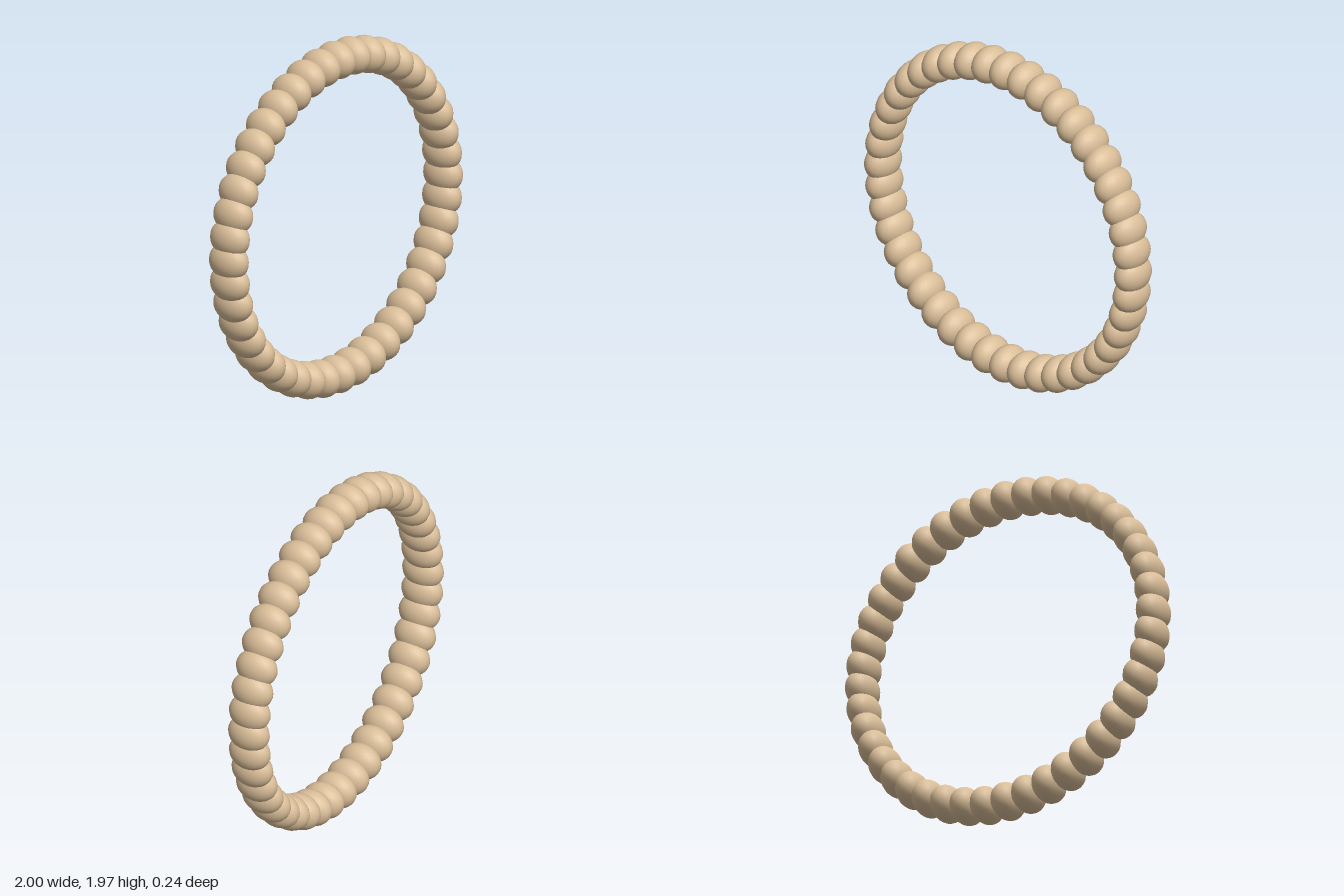
import * as THREE from 'three';

export function createModel() {
  const group = new THREE.Group();
  group.name = 'beadRing';

  const beadTan = new THREE.MeshStandardMaterial({ color: 0xd9bd98 });
  beadTan.name = 'beadTan';

  // One oval bead shared by the whole ring; every bead stays upright
  const bead = new THREE.SphereGeometry(1, 20, 14);
  bead.scale(0.082, 0.103, 0.12);

  // Beads spaced evenly around a slightly flattened circle
  const count = 44;
  const radiusX = 0.918, radiusY = 0.882, centreY = 0.987;
  for (let i = 0; i < count; i++) {
    const a = (i / count) * Math.PI * 2;
    const mesh = new THREE.Mesh(bead, beadTan);
    mesh.name = `bead${i + 1}`;
    mesh.position.set(Math.sin(a) * radiusX, centreY + Math.cos(a) * radiusY, 0);
    group.add(mesh);
  }
  return group;
}
